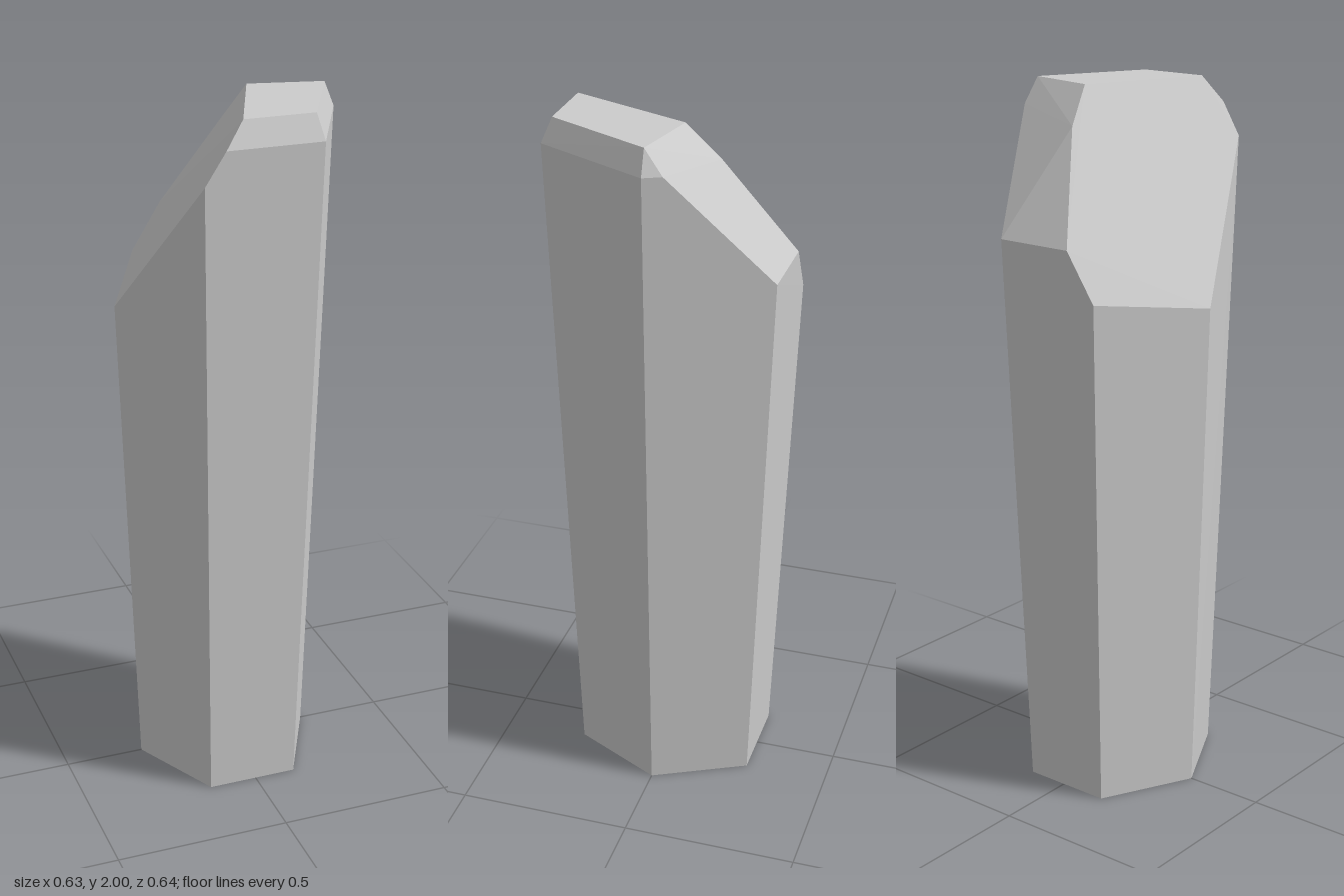
import * as THREE from 'three';
import { ConvexGeometry } from 'three/addons/geometries/ConvexGeometry.js';

export function createModel() {
  const group = new THREE.Group();
  group.name = 'crystalShard';

  // Corner rings as [x, y, z]; the shard is the convex solid around them
  const base = [
    [-0.27, 0, 0], [-0.14, 0, 0.26], [0.12, 0, 0.26],
    [0.25, 0, 0], [0.12, 0, -0.26], [-0.14, 0, -0.26],
  ];
  // Where the six sides end, cut lower towards the left and back
  const shoulder = [
    [-0.318, 1.43, -0.007], [-0.172, 1.84, 0.318], [-0.115, 1.93, 0.321],
    [0.155, 1.93, 0.321], [0.317, 1.93, -0.006], [0.293, 1.93, -0.055],
    [0.15, 1.61, -0.321], [-0.08, 1.61, -0.321], [-0.166, 1.475, -0.317],
  ];
  // Ridge between the two big cuts
  const ridge = [[0.05, 1.9, -0.14]];
  // Small flat tip
  const tip = [
    [-0.06, 2, 0.293], [0.14, 2, 0.293], [0.288, 2, -0.005], [0.08, 2, -0.05],
  ];

  const corners = [...base, ...shoulder, ...ridge, ...tip].map((p) => new THREE.Vector3(...p));
  const shard = new THREE.Mesh(
    new ConvexGeometry(corners),
    new THREE.MeshStandardMaterial({ color: 0xcccccc, flatShading: true })
  );
  shard.name = 'shard';
  group.add(shard);
  return group;
}
